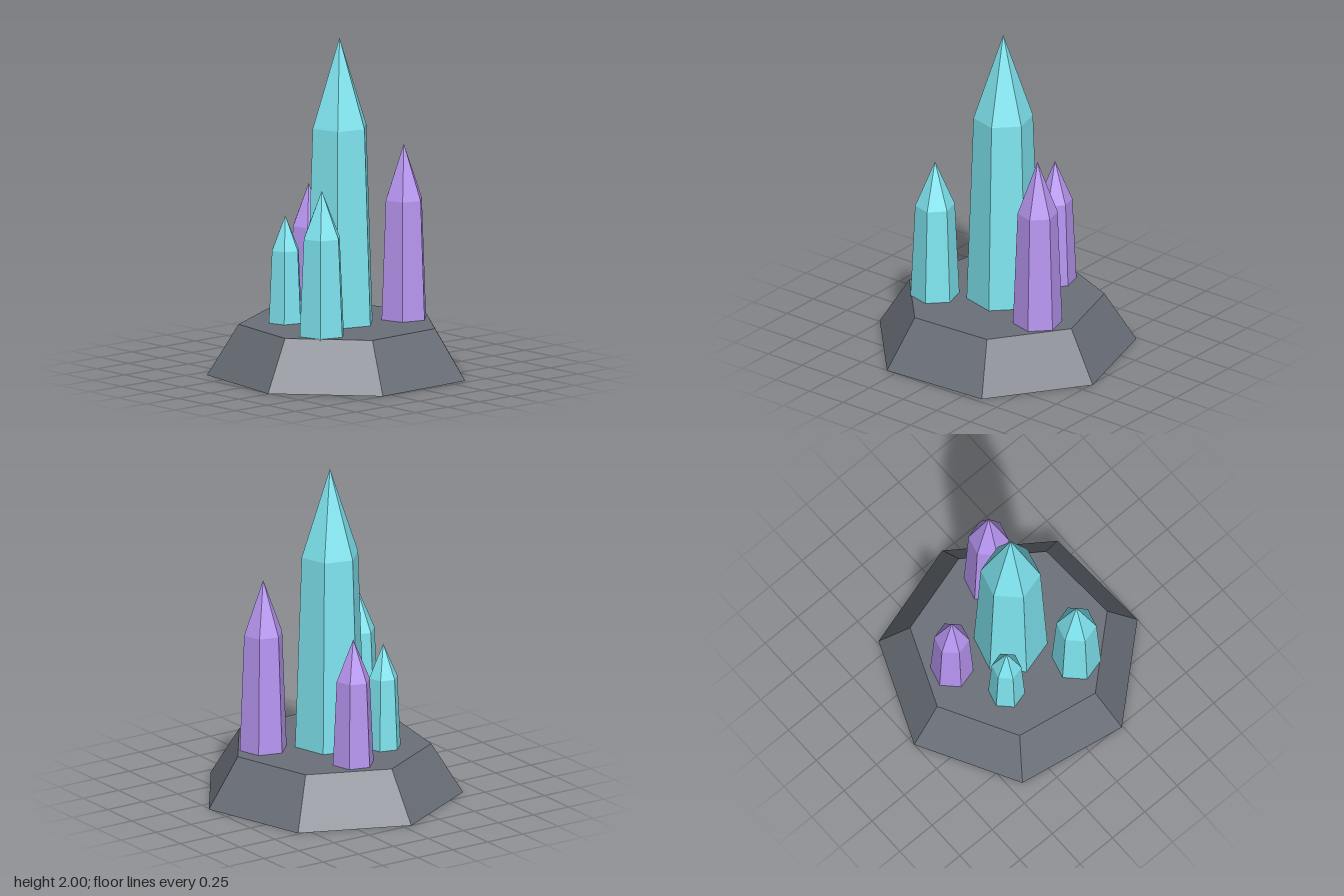
import * as THREE from 'three';

const material = (color) => new THREE.MeshStandardMaterial({ color, flatShading: true });

// Six-sided crystal: tapering shaft with a pointed cap, centred on (x, z)
function crystal(name, mat, { x, z, radius, shoulder, tip }) {
  const bottom = 0.29, topRadius = radius * 0.81;
  const group = new THREE.Group();
  group.name = name;
  group.position.set(x, 0, z);
  group.rotation.y = 0.26;

  const shaft = new THREE.Mesh(
    new THREE.CylinderGeometry(topRadius, radius, shoulder - bottom, 6), mat);
  shaft.name = 'crystalShaft';
  shaft.position.y = (shoulder + bottom) / 2;

  const point = new THREE.Mesh(
    new THREE.ConeGeometry(topRadius, tip - shoulder, 6, 1, true), mat);
  point.name = 'crystalPoint';
  point.position.y = (tip + shoulder) / 2;

  group.add(shaft, point);
  return group;
}

export function createModel() {
  const model = new THREE.Group();
  model.name = 'crystalCluster';
  const stone = material(0x6b7079);
  const teal = material(0x7fe5f0);
  const purple = material(0xb896f2);

  // Seven-sided rock base
  const base = new THREE.Mesh(new THREE.CylinderGeometry(0.595, 0.782, 0.3, 7), stone);
  base.name = 'rockBase';
  base.position.set(-0.01, 0.15, 0.03);
  base.rotation.y = 0.5;
  model.add(base);

  // Crystals
  model.add(
    crystal('mainCrystal', teal, { x: -0.01, z: 0.03, radius: 0.217, shoulder: 1.47, tip: 2.0 }),
    crystal('frontRightCrystal', teal, { x: -0.346, z: 0.25, radius: 0.145, shoulder: 0.88, tip: 1.16 }),
    crystal('frontLeftCrystal', purple, { x: 0.362, z: 0.18, radius: 0.146, shoulder: 1.01, tip: 1.34 }),
    crystal('backLeftCrystal', purple, { x: 0.083, z: -0.345, radius: 0.127, shoulder: 0.815, tip: 1.065 }),
    crystal('backRightCrystal', teal, { x: -0.235, z: -0.195, radius: 0.108, shoulder: 0.73, tip: 0.935 }),
  );
  return model;
}
